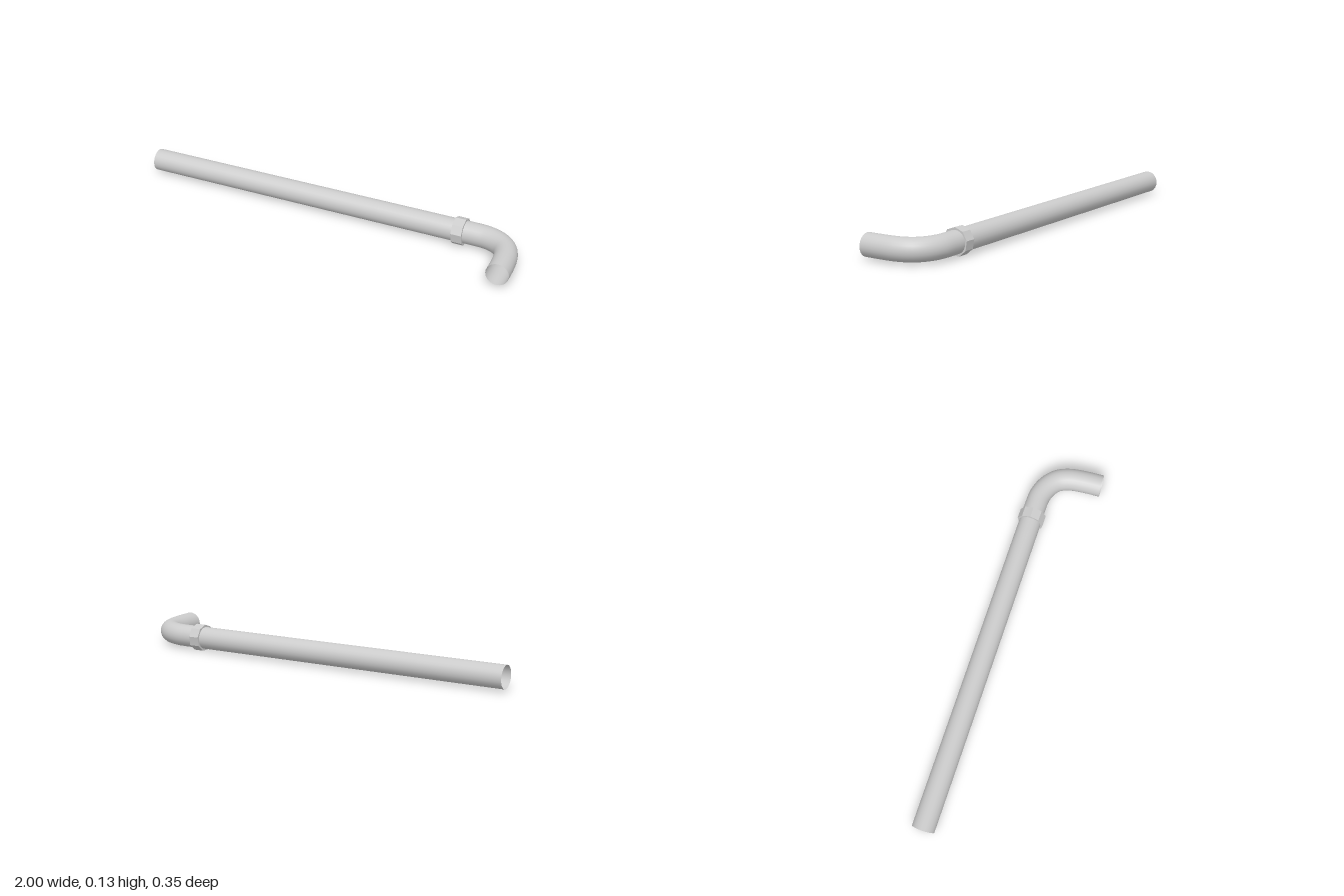
import * as THREE from 'three';

const AXIS_Y = 0.065;
const PIPE_R = 0.055;

const pt = ([x, z]) => new THREE.Vector3(x, AXIS_Y, z);

export function createModel() {
  const group = new THREE.Group();
  const pipeMat = new THREE.MeshStandardMaterial({ color: 0xcccccc, side: THREE.DoubleSide });
  const nutMat = new THREE.MeshStandardMaterial({ color: 0xcccccc, flatShading: true });

  const add = (name, geometry, material) => {
    const mesh = new THREE.Mesh(geometry, material);
    mesh.name = name;
    group.add(mesh);
    return mesh;
  };

  // Long straight pipe, open at the far end
  const run = new THREE.LineCurve3(pt([-1, -0.102]), pt([0.67, -0.109]));
  add('straightPipe', new THREE.TubeGeometry(run, 4, PIPE_R, 24), pipeMat);

  // Elbow turning forward to an open outlet
  const bend = new THREE.CatmullRomCurve3([
    [0.66, -0.109], [0.73, -0.11], [0.8, -0.106], [0.86, -0.084], [0.904, -0.046],
    [0.929, 0.01], [0.94, 0.09], [0.944, 0.175],
  ].map(pt));
  add('elbowPipe', new THREE.TubeGeometry(bend, 32, PIPE_R, 24), pipeMat);

  // Nine-sided coupling nut with one corner pointing up
  const nutGeo = new THREE.CylinderGeometry(0.067, 0.067, 0.053, 9);
  nutGeo.rotateY(Math.PI / 2).rotateZ(-Math.PI / 2);
  // The corner starts on +x, so the lay-down turn leaves it pointing down; flip it up
  nutGeo.rotateX(Math.PI);
  add('couplingNut', nutGeo, nutMat).position.copy(pt([0.664, -0.108]));

  return group;
}
